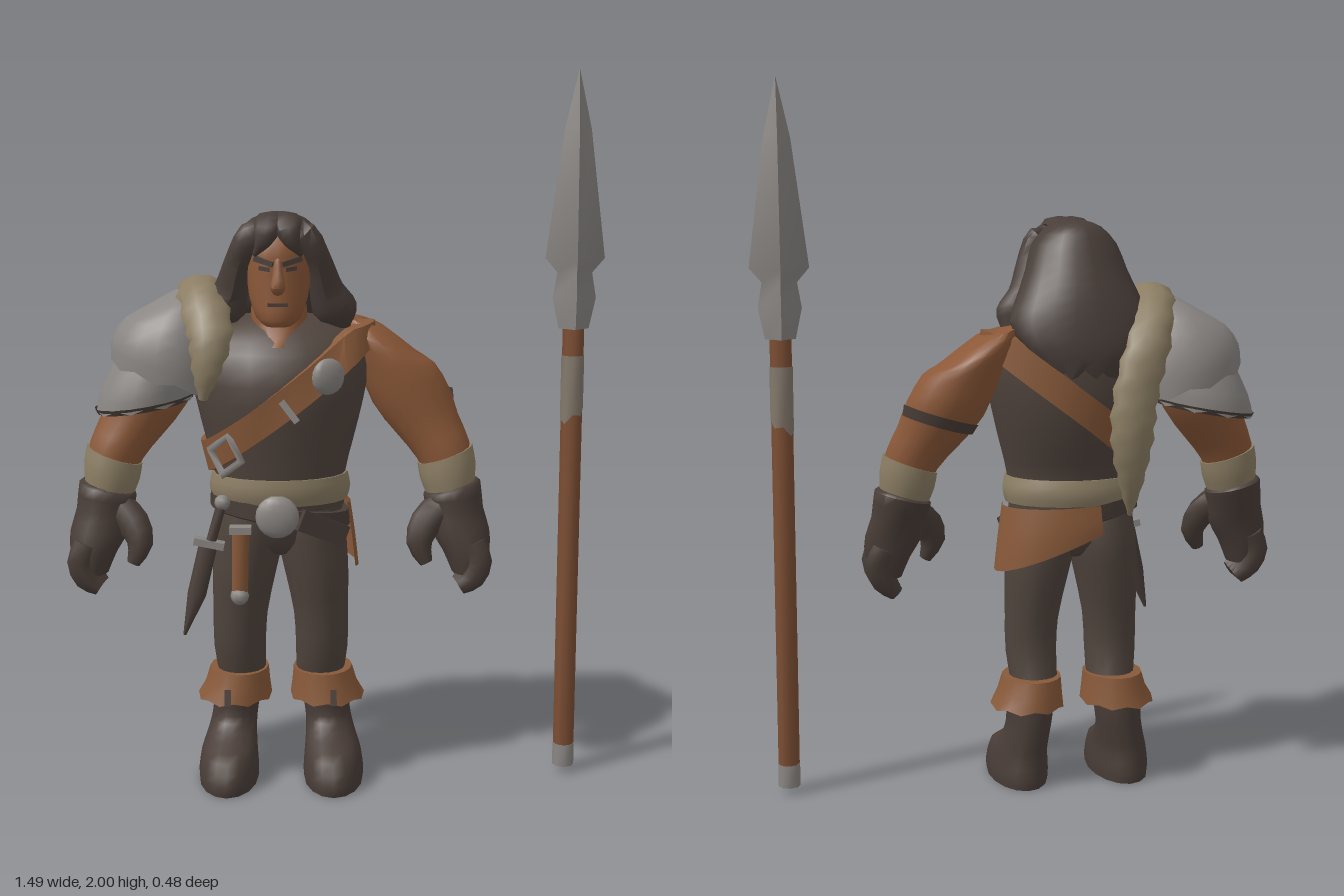
import * as THREE from 'three';
import { toCreasedNormals } from 'three/addons/utils/BufferGeometryUtils.js';

const C = -0.155; // centre line of the figure
const V = (x, y, z) => new THREE.Vector3(x, y, z);
const mat = (name, color) => {
  const m = new THREE.MeshStandardMaterial({ color, side: THREE.DoubleSide });
  m.name = name;
  return m;
};

export function createModel() {
  const root = new THREE.Group();
  root.name = 'warrior';
  const skin = mat('skin', 0x8b5838), leather = mat('leather', 0x885939), cloth = mat('dark cloth', 0x50443d),
    hide = mat('dark hide', 0x493d37), hair = mat('hair', 0x493e39), metal = mat('metal', 0x8a8683),
    fur = mat('fur', 0x8c7e64), wood = mat('wood', 0x7c4e33), wrap = mat('grip wrap', 0x84796c);

  const add = (name, geo, m, x = 0, y = 0, z = 0, rx = 0, ry = 0, rz = 0) => {
    const mesh = new THREE.Mesh(geo, m);
    mesh.name = name;
    mesh.position.set(x, y, z);
    mesh.rotation.set(rx, ry, rz);
    root.add(mesh);
    return mesh;
  };

  // Joins rings of points into a skin, capped unless open
  const skinRings = (rings, capped = true, closed = true, crease = 0.9) => {
    const pos = [], idx = [], n = rings[0].length;
    rings.forEach(r => r.forEach(p => pos.push(p.x, p.y, p.z)));
    for (let i = 0; i < rings.length - 1; i++)
      for (let j = 0; j < (closed ? n : n - 1); j++) {
        const a = i * n + j, b = i * n + (j + 1) % n;
        idx.push(a, a + n, b, b, a + n, b + n);
      }
    if (capped) [0, rings.length - 1].forEach(i => {
      const c = rings[i].reduce((s, p) => s.add(p), V(0, 0, 0)).divideScalar(n), k = pos.length / 3;
      pos.push(c.x, c.y, c.z);
      for (let j = 0; j < n; j++) {
        const a = i * n + j, b = i * n + (j + 1) % n;
        if (i) idx.push(k, b, a); else idx.push(k, a, b);
      }
    });
    const g = new THREE.BufferGeometry();
    g.setAttribute('position', new THREE.Float32BufferAttribute(pos, 3));
    g.setIndex(idx);
    return toCreasedNormals(g, crease);
  };

  // Smooths sections [x, y, z, rx, rz, slope]
  const refine = (secs, k) => {
    const [p, r] = [0, 3].map(o => new THREE.CatmullRomCurve3(
      secs.map(s => V(s[o], s[o + 1], s[o + 2] || 0)), false, 'catmullrom', 0.5));
    const n = (secs.length - 1) * k;
    return Array.from({ length: n + 1 }, (_, i) => [p.getPoint(i / n), r.getPoint(i / n)]);
  };

  // Level rings stacked from bottom to top; a slope tilts a ring sideways
  const loft = (name, m, secs, { k = 2, n = 16, capped = true, arc = null, jag = 0 } = {}) => {
    const rings = refine(secs, k).map(([p, r], i) => Array.from({ length: arc ? n + 1 : n }, (_, j) => {
      const t = arc ? arc[0] + (arc[1] - arc[0]) * j / n : j / n * Math.PI * 2;
      const dx = r.x * Math.cos(t);
      return V(p.x + dx, p.y + dx * r.z - (i === 0 && j % 2 ? jag : 0), p.z + r.y * Math.sin(t));
    }));
    return add(name, skinRings(rings, capped && !arc, !arc), m);
  };

  // Oval rings along a path: [x, y, z, width, thickness]
  const sweep = (name, m, secs, { k = 3, n = 8, jag = 0 } = {}) => {
    const st = refine(secs, k), X = V(1, 0, 0);
    const rings = st.map(([p, r], i) => {
      const T = st[Math.min(i + 1, st.length - 1)][0].clone().sub(st[Math.max(i - 1, 0)][0]).normalize();
      const N = T.clone().cross(X).normalize(), U = N.clone().cross(T), w = r.x * (i % 2 ? 1 - jag : 1);
      return Array.from({ length: n }, (_, j) => {
        const t = j / n * Math.PI * 2;
        return p.clone().addScaledVector(U, w * Math.cos(t)).addScaledVector(N, -r.y * Math.sin(t));
      });
    });
    return add(name, skinRings(rings), m);
  };
  const flip = (secs, s) => secs.map(([x, y, z, a, b, c = 0]) => [C + s * (x - C), y, z, a, b, c * s]);

  // Torso, hips and neck
  const torso = [[C, 0.8, 0.035, 0.18, 0.135], [C, 0.9, 0.04, 0.185, 0.145], [C, 0.98, 0.03, 0.205, 0.168],
    [C, 1.1, 0.02, 0.235, 0.197], [C, 1.2, 0.01, 0.25, 0.195], [C, 1.27, -0.01, 0.235, 0.17],
    [C, 1.315, -0.02, 0.17, 0.125], [C, 1.34, -0.02, 0.08, 0.08]];
  loft('tunic', cloth, torso, { n: 20 });
  loft('hips', cloth, [[C, 0.665, 0.03, 0.03, 0.07], [C, 0.71, 0.03, 0.13, 0.11], [C, 0.83, 0.035, 0.178, 0.13]]);
  loft('neck', skin, [[C, 1.26, 0.07, 0.05, 0.103], [C, 1.31, 0.04, 0.08, 0.09], [C, 1.4, 0.04, 0.07, 0.07]]);
  loft('furBelt', fur, [[C, 0.82, 0.035, 0.19, 0.145], [C, 0.855, 0.037, 0.198, 0.155], [C, 0.895, 0.04, 0.19, 0.15]],
    { n: 20 });
  loft('hipBelt', hide, [[C, 0.765, 0.035, 0.187, 0.14, -0.15], [C, 0.77, 0.035, 0.197, 0.148, -0.15],
    [C, 0.815, 0.035, 0.195, 0.148, -0.15]], { n: 20, k: 1 });
  add('beltTab', new THREE.BoxGeometry(0.15, 0.06, 0.02), hide, -0.035, 0.755, 0.155, 0, 0.45, -0.42);
  const disc = (name, r, x, y, z, ry = 0) => {
    const g = new THREE.SphereGeometry(r, 14, 10);
    g.scale(1, 1, 0.4);
    add(name, g, metal, x, y, z, 0, ry);
  };
  disc('beltBuckle', 0.06, C - 0.005, 0.795, 0.188);
  loft('hipFlap', leather, [[C, 0.715, 0.03, 0.222, 0.15, -0.42], [C, 0.76, 0.03, 0.212, 0.152, -0.22],
    [C, 0.82, 0.035, 0.198, 0.152, -0.05]], { arc: [-1.85, 0.3], n: 14 });

  // Shoulder strap: a tilted band that follows the torso
  const at = y => {
    let i = 0;
    while (i < torso.length - 2 && torso[i + 1][1] < y) i++;
    const a = torso[i], b = torso[i + 1], t = THREE.MathUtils.clamp((y - a[1]) / (b[1] - a[1]), 0, 1);
    return a.map((v, q) => v + (b[q] - v) * t);
  };
  const strapRing = (dy, out) => Array.from({ length: 40 }, (_, j) => {
    const t = j / 40 * Math.PI * 2, c = Math.cos(t), lift = Math.max(0, c) ** 6;
    let x = C + 0.22 * c, s;
    for (let q = 0; q < 8; q++) {
      s = at(Math.min(1.27, 0.95 + 0.8 * (x + 0.34) + dy));
      x = C + s[3] * c;
    }
    const y = Math.min(1.295, 0.95 + 0.8 * (x + 0.34) + dy) + 0.02 * lift;
    return V(x + c * out * (1 + lift), y, s[2] + (s[4] + out) * Math.sin(t));
  });
  add('shoulderStrap', skinRings([[-0.05, -0.01], [-0.05, 0.016], [0.05, 0.016], [0.05, -0.01]]
    .map(a => strapRing(...a)), false), leather);
  disc('strapStud', 0.05, -0.02, 1.185, 0.195, 0.5);
  const frame = new THREE.TorusGeometry(0.056, 0.014, 4, 4);
  frame.rotateZ(Math.PI / 4);
  add('strapBuckle', frame, metal, -0.3, 0.965, 0.172, 0, -0.65, 0.6);
  add('strapKeeper', new THREE.BoxGeometry(0.018, 0.07, 0.01), metal, -0.125, 1.095, 0.232, -0.1, 0, 0.65);

  // Limbs, mirrored about the centre line
  for (const s of [1, -1]) {
    const side = s > 0 ? 'left' : 'right';
    loft(side + 'Arm', skin, flip([[0.33, 0.86, 0.03, 0.062, 0.068, 0.3], [0.305, 0.95, 0.02, 0.073, 0.08, 0.35],
      [0.262, 1.02, 0, 0.085, 0.092, 0.35], [0.215, 1.1, -0.02, 0.108, 0.114, 0.2], [0.172, 1.19, -0.03, 0.11, 0.125, 0],
      [0.13, 1.255, -0.04, 0.108, 0.125, -0.35], [0.08, 1.31, -0.045, 0.06, 0.09, -0.3]], s));
    loft(side + 'WristWrap', fur, flip([[0.325, 0.85, 0.03, 0.07, 0.076, 0.25], [0.318, 0.895, 0.025, 0.078, 0.083, 0.3],
      [0.31, 0.94, 0.02, 0.077, 0.083, 0.35]], s));
    loft(side + 'Gauntlet', hide, flip([[0.375, 0.61, 0.07, 0.045, 0.055], [0.37, 0.67, 0.065, 0.066, 0.066],
      [0.352, 0.73, 0.055, 0.083, 0.068], [0.338, 0.79, 0.04, 0.08, 0.074], [0.33, 0.845, 0.03, 0.08, 0.083, 0.25],
      [0.33, 0.855, 0.03, 0.06, 0.065, 0.25]], s));
    for (let i = 0; i < 4; i++) sweep(side + 'Finger', hide, flip([[0.385, 0.7, 0.012 + i * 0.033, 0.034, 0.022],
      [0.403, 0.65, 0.018 + i * 0.033, 0.036, 0.022], [0.385, 0.6, 0.025 + i * 0.03, 0.034, 0.021],
      [0.35, 0.565 + i * 0.003, 0.03 + i * 0.028, 0.022, 0.015]], s), { k: 2 });
    sweep(side + 'Thumb', hide, flip([[0.3, 0.8, 0.06, 0.045, 0.04], [0.255, 0.755, 0.085, 0.045, 0.036],
      [0.235, 0.7, 0.105, 0.036, 0.032], [0.255, 0.645, 0.115, 0.018, 0.018]], s), { k: 2 });

    loft(side + 'Trouser', cloth, flip([[-0.045, 0.26, -0.005, 0.065, 0.075], [-0.038, 0.38, 0.027, 0.074, 0.08],
      [-0.04, 0.48, 0.03, 0.077, 0.09], [-0.052, 0.6, 0.028, 0.09, 0.113], [-0.063, 0.68, 0.025, 0.097, 0.122],
      [-0.068, 0.74, 0.028, 0.097, 0.122], [-0.07, 0.8, 0.03, 0.09, 0.115]], s));
    loft(side + 'BootCuff', leather, flip([[-0.022, 0.235, 0.005, 0.106, 0.122], [-0.03, 0.27, 0.005, 0.093, 0.112],
      [-0.035, 0.315, 0.005, 0.084, 0.105], [-0.035, 0.315, 0.005, 0.06, 0.08]], s), { k: 1, jag: 0.01 });
    add(side + 'CuffSlit', new THREE.BoxGeometry(0.018, 0.045, 0.008), hide, C + s * 0.15, 0.252, 0.121, -0.25);
    loft(side + 'Boot', hide, flip([[-0.005, 0, 0.07, 0.084, 0.17], [-0.005, 0.03, 0.07, 0.086, 0.172],
      [-0.007, 0.085, 0.058, 0.08, 0.152], [-0.012, 0.118, 0.02, 0.072, 0.115], [-0.018, 0.155, -0.012, 0.066, 0.085],
      [-0.024, 0.2, -0.018, 0.066, 0.082], [-0.025, 0.27, -0.015, 0.072, 0.085]], s));
  }
  loft('armBand', hide, [[0.24, 1.055, -0.01, 0.101, 0.109, 0.3], [0.23, 1.085, -0.016, 0.108, 0.116, 0.3]],
    { k: 1, arc: [-2.9, -0.25] });

  // Head and face
  loft('head', skin, [[C, 1.315, 0.125, 0.035, 0.045], [C, 1.335, 0.11, 0.06, 0.07], [C, 1.39, 0.085, 0.08, 0.092],
    [C, 1.46, 0.075, 0.087, 0.1], [C, 1.54, 0.07, 0.085, 0.1], [C, 1.59, 0.06, 0.05, 0.07]]);
  sweep('nose', skin, [[C, 1.5, 0.165, 0.01, 0.01], [C, 1.46, 0.178, 0.014, 0.014], [C, 1.425, 0.188, 0.021, 0.018],
    [C, 1.41, 0.172, 0.014, 0.01]], { k: 2 });
  add('mouth', new THREE.BoxGeometry(0.055, 0.009, 0.009), hide, C, 1.377, 0.174);
  for (const s of [1, -1]) {
    add('brow', new THREE.BoxGeometry(0.056, 0.014, 0.02), hair, C + s * 0.037, 1.493, 0.163, 0, s * 0.35, s * 0.28);
    add('eye', new THREE.BoxGeometry(0.03, 0.011, 0.009), hide, C + s * 0.036, 1.473, 0.165, 0, s * 0.35, s * 0.12);
  }

  // Hair: long mane with locks around the face
  loft('mane', hair, [[C, 1.22, -0.165, 0.1, 0.03], [C, 1.27, -0.13, 0.165, 0.07], [C, 1.34, -0.08, 0.2, 0.11],
    [C, 1.41, -0.055, 0.175, 0.118], [C, 1.48, -0.025, 0.145, 0.12], [C, 1.55, 0, 0.12, 0.115],
    [C, 1.598, 0.005, 0.075, 0.09], [C, 1.615, 0.005, 0.03, 0.04]], { n: 18, jag: 0.03 });
  for (const s of [1, -1]) {
    sweep('sideLock', hair, flip([[-0.14, 1.585, 0.09, 0.03, 0.025], [-0.085, 1.56, 0.125, 0.04, 0.03],
      [-0.045, 1.49, 0.09, 0.036, 0.045], [-0.025, 1.41, 0.045, 0.048, 0.06], [0.002, 1.345, 0.03, 0.062, 0.055],
      [0.02, 1.3, 0.01, 0.03, 0.03]], s));
    sweep('forelock', hair, flip([[-0.15, 1.592, 0.02, 0.05, 0.02], [-0.14, 1.602, 0.1, 0.05, 0.022],
      [-0.13, 1.588, 0.165, 0.04, 0.024], [-0.115, 1.545, 0.18, 0.022, 0.016],
      [-0.092, 1.51, 0.163, 0.006, 0.006]], s));
  }

  // Right shoulder armour with fur collar and tail
  loft('lowerShoulderPlate', metal, [[-0.535, 1.085, -0.015, 0.138, 0.155, 0.16], [-0.525, 1.135, -0.015, 0.132, 0.155, 0.1],
    [-0.5, 1.22, -0.015, 0.11, 0.135, 0]], { capped: false, n: 18, jag: 0.012 });
  loft('plateRim', hide, [[-0.535, 1.074, -0.015, 0.134, 0.151, 0.16], [-0.535, 1.09, -0.015, 0.142, 0.159, 0.16]],
    { k: 1, capped: false, n: 18 });
  loft('upperShoulderPlate', metal, [[-0.465, 1.165, -0.02, 0.165, 0.186, -0.3], [-0.46, 1.23, -0.02, 0.163, 0.188, -0.25],
    [-0.445, 1.31, -0.02, 0.138, 0.165, -0.1], [-0.425, 1.37, -0.02, 0.09, 0.118, 0.1],
    [-0.41, 1.405, -0.02, 0.03, 0.04, 0.1]], { n: 18, capped: false, jag: 0.015 });
  sweep('furCollar', fur, [[-0.36, 1.12, 0.18, 0.012, 0.012], [-0.35, 1.2, 0.185, 0.042, 0.025],
    [-0.34, 1.3, 0.155, 0.066, 0.035], [-0.37, 1.385, 0.05, 0.072, 0.045], [-0.365, 1.385, -0.07, 0.07, 0.045],
    [-0.325, 1.29, -0.175, 0.066, 0.04], [-0.285, 1.15, -0.197, 0.068, 0.042], [-0.275, 1.02, -0.195, 0.064, 0.042],
    [-0.28, 0.9, -0.17, 0.038, 0.03], [-0.285, 0.8, -0.14, 0.006, 0.006]], { k: 4, n: 10, jag: 0.13 });

  // Long dagger and short knife at the right hip
  sweep('daggerGrip', hide, [[-0.315, 0.82, 0.14, 0.014, 0.014], [-0.345, 0.715, 0.15, 0.014, 0.014]], { k: 1 });
  add('daggerPommel', new THREE.SphereGeometry(0.022, 8, 6), metal, -0.313, 0.825, 0.14);
  add('daggerGuard', new THREE.BoxGeometry(0.085, 0.02, 0.035), metal, -0.35, 0.712, 0.15, 0, 0, -0.2);
  sweep('daggerSheath', hide, [[-0.352, 0.71, 0.15, 0.026, 0.014], [-0.385, 0.57, 0.162, 0.026, 0.013],
    [-0.42, 0.455, 0.17, 0.004, 0.004]], { k: 1 });
  sweep('knifeSheath', leather, [[-0.262, 0.755, 0.17, 0.024, 0.017], [-0.265, 0.575, 0.165, 0.022, 0.016]], { k: 1 });
  add('knifeCollar', new THREE.BoxGeometry(0.06, 0.02, 0.04), metal, -0.262, 0.755, 0.17);
  add('knifeTip', new THREE.SphereGeometry(0.026, 8, 6), metal, -0.266, 0.565, 0.165);

  // Spear
  const SX = 0.663, SZ = 0.032;
  const rod = (name, m, y0, y1, r) => add(name, toCreasedNormals(
    new THREE.CylinderGeometry(r, r, y1 - y0, 8), 0.9), m, SX, (y0 + y1) / 2, SZ);
  rod('spearShaft', wood, 0.08, 1.31, 0.03);
  rod('spearButt', metal, 0.02, 0.085, 0.031);
  loft('spearGrip', wrap, [[SX, 1.055, SZ, 0.032, 0.032, 0.5], [SX, 1.22, SZ, 0.032, 0.032]],
    { k: 1, n: 8, capped: false, jag: 0.015 });
  loft('spearHead', metal, [[SX, 1.295, SZ, 0.042, 0.042], [SX, 1.38, SZ, 0.06, 0.05], [SX, 1.45, SZ, 0.048, 0.042],
    [SX, 1.49, SZ, 0.082, 0.052], [SX, 1.84, SZ, 0.037, 0.03], [SX, 2, SZ, 0.001, 0.001]], { k: 1, n: 4 });
  return root;
}
